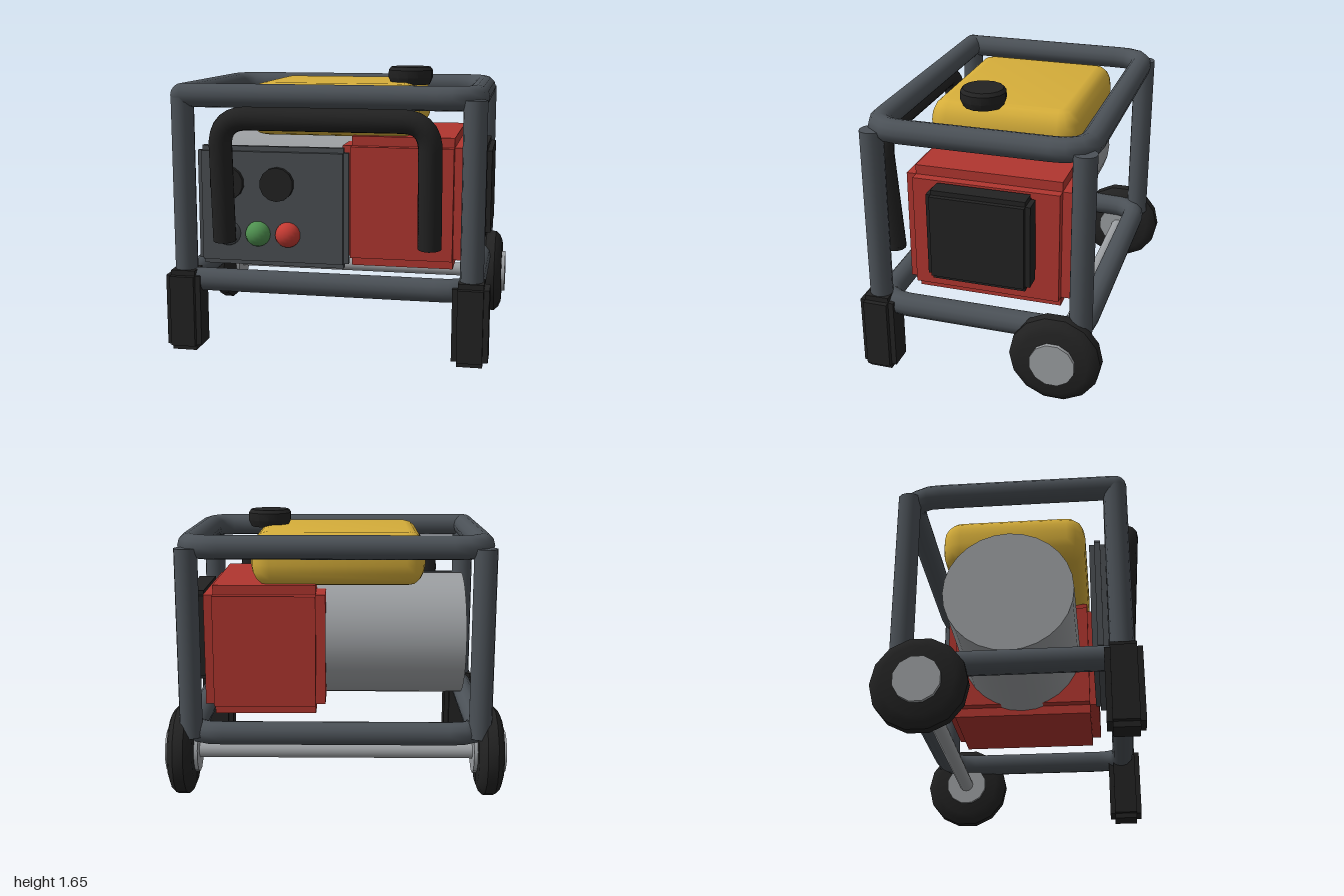
import * as THREE from 'three';
import { toCreasedNormals } from 'three/addons/utils/BufferGeometryUtils.js';

const mat = (name, color) => {
  const m = new THREE.MeshStandardMaterial({ color });
  m.name = name;
  return m;
};

export function createModel() {
  const steel = mat('frameSteel', 0x4b5157);
  const panelGrey = mat('panelGrey', 0x4a4e52);
  const black = mat('rubberBlack', 0x222222);
  const red = mat('engineRed', 0xb0362f);
  const yellow = mat('tankYellow', 0xd6ae3a);
  const silver = mat('silver', 0x9c9fa2);
  const green = mat('buttonGreen', 0x4f9150);
  const stopRed = mat('buttonRed', 0xc43a32);

  const model = new THREE.Group();
  model.name = 'portableGenerator';

  const add = (name, geo, material, x = 0, y = 0, z = 0, parent = model) => {
    const mesh = new THREE.Mesh(geo, material);
    mesh.name = name;
    mesh.position.set(x, y, z);
    parent.add(mesh);
    return mesh;
  };

  // Box with stepped edges: three boxes, each full size along one axis
  const steppedBox = (name, material, [w, h, d], b, [x, y, z]) => {
    const g = new THREE.Group();
    g.name = name;
    g.position.set(x, y, z);
    const s = 2 * b;
    [[w, h - s, d - s], [w - s, h, d - s], [w - s, h - s, d]].forEach((size) =>
      add(name + 'Block', new THREE.BoxGeometry(...size), material, 0, 0, 0, g));
    model.add(g);
  };

  // Tube through points, with inner corners rounded by the bend length
  const bentTube = (points, radius, bend) => {
    const p = points.map((a) => new THREE.Vector3(...a));
    const path = new THREE.CurvePath();
    let start = p[0];
    for (let i = 1; i < p.length - 1; i++) {
      const a = p[i].clone().add(p[i - 1].clone().sub(p[i]).setLength(bend));
      const c = p[i].clone().add(p[i + 1].clone().sub(p[i]).setLength(bend));
      path.add(new THREE.LineCurve3(start, a));
      path.add(new THREE.QuadraticBezierCurve3(a, p[i], c));
      start = c;
    }
    path.add(new THREE.LineCurve3(start, p[p.length - 1]));
    return new THREE.TubeGeometry(path, 72, radius, 12, false);
  };

  // Tubular frame: two loops and four posts
  const fx = 0.84, fz = 0.6;
  for (const [name, y] of [['lowerFrame', 0.42], ['upperFrame', 1.505]]) {
    const loop = [[-fx, y, fz], [fx, y, fz], [fx, y, -fz], [-fx, y, -fz], [-fx, y, fz]];
    add(name, bentTube(loop, 0.069, 0.17), steel);
    add(name + 'Joint', new THREE.SphereGeometry(0.069, 12, 8), steel, -fx, y, fz);
  }
  for (const sx of [-1, 1]) for (const sz of [-1, 1]) {
    add('post', new THREE.CylinderGeometry(0.067, 0.067, 1.1, 12), steel, sx * fx, 0.95, sz * fz);
  }

  // Front feet
  for (const s of [-1, 1]) {
    steppedBox('foot', black, [0.207, 0.483, 0.205], 0.031, [s * fx, 0.2415, 0.605]);
  }

  // Wheels, hubs and axle
  const tyreProfile = [[0, -0.073], [0.2, -0.073], [0.238, -0.058], [0.265, -0.03],
    [0.265, 0.03], [0.238, 0.058], [0.2, 0.073], [0, 0.073]]
    .map(([r, y]) => new THREE.Vector2(r, y));
  const tyreGeo = toCreasedNormals(new THREE.LatheGeometry(tyreProfile, 14), 0.6).rotateZ(Math.PI / 2);
  const hubGeo = new THREE.CylinderGeometry(0.132, 0.132, 0.19, 12).rotateY(Math.PI / 12).rotateZ(Math.PI / 2);
  for (const s of [-1, 1]) {
    add('tyre', tyreGeo, black, s * 0.905, 0.275, -0.476);
    add('hub', hubGeo, silver, s * 0.905, 0.275, -0.476);
  }
  add('axle', new THREE.CylinderGeometry(0.045, 0.045, 1.8, 12).rotateZ(Math.PI / 2), silver, 0, 0.273, -0.476);

  // Engine, air filter and alternator
  steppedBox('engine', red, [0.71, 0.77, 0.966], 0.056, [0.417, 0.88, -0.025]);
  steppedBox('airFilter', black, [0.16, 0.543, 0.596], 0.028, [0.843, 0.934, -0.023]);
  add('alternator', new THREE.CylinderGeometry(0.375, 0.375, 0.92, 28).rotateZ(Math.PI / 2),
    silver, -0.31, 0.9, -0.025);

  // Fuel tank: rounded rectangle with deep rounded bevels
  const bs = 0.09, bt = 0.125, hw = 0.509 - bs, hd = 0.439 - bs, r = 0.03;
  const outline = new THREE.Shape();
  outline.moveTo(-hw + r, -hd);
  outline.lineTo(hw - r, -hd).quadraticCurveTo(hw, -hd, hw, -hd + r);
  outline.lineTo(hw, hd - r).quadraticCurveTo(hw, hd, hw - r, hd);
  outline.lineTo(-hw + r, hd).quadraticCurveTo(-hw, hd, -hw, hd - r);
  outline.lineTo(-hw, -hd + r).quadraticCurveTo(-hw, -hd, -hw + r, -hd);
  const tankGeo = new THREE.ExtrudeGeometry(outline, {
    depth: 0.06, bevelEnabled: true, bevelSize: bs, bevelThickness: bt, bevelSegments: 4, curveSegments: 3,
  });
  tankGeo.translate(0, 0, -0.03).rotateX(-Math.PI / 2);
  add('fuelTank', toCreasedNormals(tankGeo, 0.7), yellow, -0.011, 1.41, -0.025);

  // Fuel cap with chamfered rims
  const capProfile = [[0, -0.06], [0.115, -0.06], [0.133, -0.02], [0.133, 0.025], [0.118, 0.045], [0, 0.045]]
    .map(([a, y]) => new THREE.Vector2(a, y));
  add('fuelCap', toCreasedNormals(new THREE.LatheGeometry(capProfile, 14), 0.6), black, 0.42, 1.61, 0.095);

  // Control panel with dials and round buttons
  steppedBox('controlPanel', panelGrey, [0.905, 0.71, 0.092], 0.029, [-0.336, 0.85, 0.486]);
  const dialGeo = new THREE.CylinderGeometry(0.1, 0.1, 0.05, 14).rotateX(Math.PI / 2);
  for (const x of [-0.6, -0.3]) add('dial', dialGeo, black, x, 0.99, 0.54);
  const buttonGeo = new THREE.SphereGeometry(0.075, 18, 12);
  [[-0.6, panelGrey], [-0.42, green], [-0.24, stopRed]].forEach(([x, m]) =>
    add('button', buttonGeo, m, x, 0.69, 0.53));

  // Front carrying handle, leaning slightly outward
  add('handle', bentTube([[-0.6, 0.66, 0.61], [-0.6, 1.382, 0.664], [0.6, 1.382, 0.664], [0.6, 0.66, 0.61]],
    0.068, 0.16), black);
  for (const s of [-1, 1]) {
    add('handleEnd', new THREE.CylinderGeometry(0.068, 0.068, 0.02, 12), black, s * 0.6, 0.668, 0.61);
  }

  return model;
}
